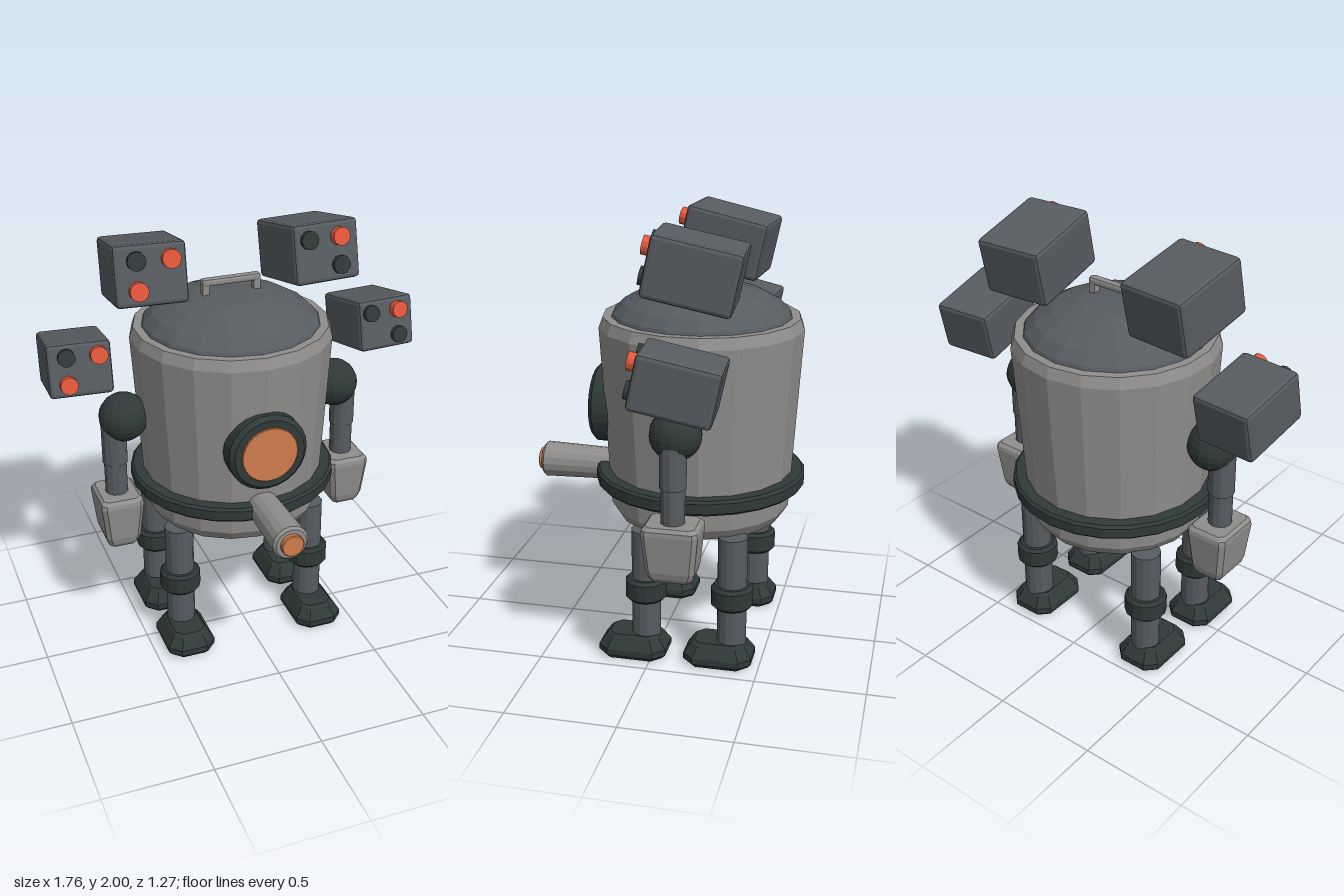
import * as THREE from 'three';
import { RoundedBoxGeometry } from 'three/addons/geometries/RoundedBoxGeometry.js';
import { ConvexGeometry } from 'three/addons/geometries/ConvexGeometry.js';

const material = (name, color) => {
  const m = new THREE.MeshStandardMaterial({ color });
  m.name = name;
  return m;
};

// Faceted normals for the low-poly look
function flat(geometry) {
  const g = geometry.index ? geometry.toNonIndexed() : geometry;
  g.computeVertexNormals();
  return g;
}

// Turned part from [radius, height] pairs, bottom to top
const turned = (pairs, sides) =>
  flat(new THREE.LatheGeometry(pairs.map(([r, y]) => new THREE.Vector2(r, y)), sides));

// Closed drum with bevelled edges, between two heights
const drum = (r0, r1, y0, y1, bevel, sides) =>
  turned([[0, y0], [r0 - bevel, y0], [r0, y0 + bevel], [r1, y1 - bevel], [r1 - bevel, y1], [0, y1]], sides);

// Solid from stacked rectangles with cut corners: [y, half width, half depth, cut]
function stacked(layers) {
  const points = [];
  for (const [y, w, d, c] of layers)
    for (const sx of [-1, 1])
      for (const sz of [-1, 1])
        points.push(new THREE.Vector3(sx * (w - c), y, sz * d), new THREE.Vector3(sx * w, y, sz * (d - c)));
  return flat(new ConvexGeometry(points));
}

export function createModel() {
  const grey = material('light grey metal', 0x8f8e8c);
  const slate = material('slate metal', 0x575c61);
  const dark = material('dark green rubber', 0x2f3a38);
  const copper = material('copper', 0xcf7d4c);
  const red = material('signal red', 0xe4573c);

  const model = new THREE.Group();
  model.name = 'robot';
  const add = (parent, name, geometry, mat, x = 0, y = 0, z = 0) => {
    const mesh = new THREE.Mesh(geometry, mat);
    mesh.name = name;
    mesh.position.set(x, y, z);
    parent.add(mesh);
    return mesh;
  };
  const cz = -0.147; // body axis

  // Body tub, dome and belt
  add(model, 'body', turned([[0, 0.61], [0.385, 0.61], [0.417, 0.66], [0.468, 1.5], [0.45, 1.55], [0, 1.55]], 18), grey, 0, 0, cz);
  add(model, 'dome', turned([[0.415, 1.54], [0.405, 1.565], [0.36, 1.61], [0.28, 1.655], [0.17, 1.688], [0, 1.703]], 18), slate, 0, 0, cz);
  add(model, 'belt', turned([[0.41, 0.76], [0.475, 0.76], [0.487, 0.772], [0.487, 0.818], [0.475, 0.83], [0.41, 0.83]], 24), dark, 0, 0, cz);

  // Carrying handle on the dome
  const handle = new THREE.Group();
  handle.name = 'handle';
  model.add(handle);
  add(handle, 'handleBar', flat(new RoundedBoxGeometry(0.28, 0.036, 0.04, 1, 0.012)), grey, 0, 1.748, cz);
  for (const s of [-1, 1])
    add(handle, 'handlePost', new THREE.BoxGeometry(0.03, 0.08, 0.034), grey, s * 0.122, 1.71, cz);

  // Porthole and nozzle, turned around the z axis
  const facing = (name, geometry, mat, y) => { add(model, name, geometry, mat, 0, y, 0).rotation.x = Math.PI / 2; };
  facing('portholeRim', drum(0.185, 0.185, 0.2, 0.35, 0.02, 24), dark, 1.105);
  facing('portholeGlass', drum(0.132, 0.132, 0.33, 0.358, 0.003, 28), copper, 1.105);
  facing('nozzle', drum(0.073, 0.084, 0.2, 0.615, 0.012, 16), grey, 0.797);
  facing('nozzleTip', drum(0.053, 0.053, 0.6, 0.636, 0.004, 16), copper, 0.797);

  // Arms with shoulder balls and blocky hands
  const shoulder = flat(new THREE.SphereGeometry(0.115, 16, 12));
  const elbow = flat(new THREE.SphereGeometry(0.06, 12, 8));
  const upperArm = flat(new THREE.CylinderGeometry(0.06, 0.06, 0.21, 12));
  const foreArm = flat(new THREE.CylinderGeometry(0.054, 0.054, 0.2, 12));
  const hand = stacked([
    [0.51, 0.06, 0.085, 0.015], [0.53, 0.074, 0.1, 0.02], [0.56, 0.083, 0.108, 0.02],
    [0.735, 0.101, 0.125, 0.02], [0.755, 0.099, 0.122, 0.02], [0.77, 0.085, 0.108, 0.02],
  ]);
  for (const s of [-1, 1]) {
    const arm = new THREE.Group();
    arm.name = s > 0 ? 'leftArm' : 'rightArm';
    model.add(arm);
    add(arm, 'shoulder', shoulder, dark, s * 0.527, 1.15, -0.145);
    add(arm, 'armTop', elbow, slate, s * 0.577, 1.137, -0.145);
    add(arm, 'upperArm', upperArm, slate, s * 0.577, 1.032, -0.145);
    add(arm, 'foreArm', foreArm, slate, s * 0.577, 0.84, -0.145);
    add(arm, 'hand', hand, grey, s * 0.577, 0, -0.145);
  }

  // Four legs with knee bands and wedge feet
  const shin = flat(new THREE.CylinderGeometry(0.068, 0.068, 0.55, 14));
  const knee = drum(0.097, 0.097, 0.28, 0.387, 0.015, 14);
  const foot = stacked([
    [0, 0.1, 0.14, 0.045], [0.02, 0.115, 0.157, 0.05], [0.048, 0.115, 0.157, 0.05],
    [0.098, 0.083, 0.122, 0.035], [0.11, 0.072, 0.108, 0.03],
  ]);
  for (const s of [-1, 1])
    for (const z of [0.035, -0.365]) {
      const leg = new THREE.Group();
      leg.name = (z > 0 ? 'front' : 'back') + (s > 0 ? 'LeftLeg' : 'RightLeg');
      leg.position.set(s * 0.332, 0, z);
      model.add(leg);
      add(leg, 'shin', shin, slate, 0, 0.345, 0);
      add(leg, 'knee', knee, dark);
      add(leg, 'foot', foot, dark, 0, 0, 0.055);
    }

  // Tilted launcher pods, each with three round caps
  const cap = flat(new THREE.CylinderGeometry(0.042, 0.042, 0.06, 12));
  cap.rotateX(Math.PI / 2);
  for (const s of [-1, 1])
    for (const [name, x, y, w, h, d, k] of [
      ['upperPod', 0.395, 1.83, 0.322, 0.27, 0.392, 1],
      ['lowerPod', 0.725, 1.435, 0.284, 0.24, 0.352, 0.94],
    ]) {
      const pod = new THREE.Group();
      pod.name = (s > 0 ? 'left ' : 'right ') + name;
      pod.position.set(s * x, y, -0.2);
      pod.rotation.set(-0.21, s * 0.075, 0, 'YXZ');
      model.add(pod);
      add(pod, 'podBox', flat(new RoundedBoxGeometry(w, h, d, 1, 0.018)), slate);
      const caps = [[-1, 1, dark], [1, 1, red], [s, -1, s > 0 ? dark : red]];
      for (const [cx, cy, mat] of caps) {
        const c = add(pod, 'podCap', cap, mat,
          cx * 0.075 * k - s * 0.014, cy * 0.064 * k, d / 2 + (mat === red ? 0.005 : -0.008));
        c.scale.set(k, k, 1);
      }
    }

  return model;
}
